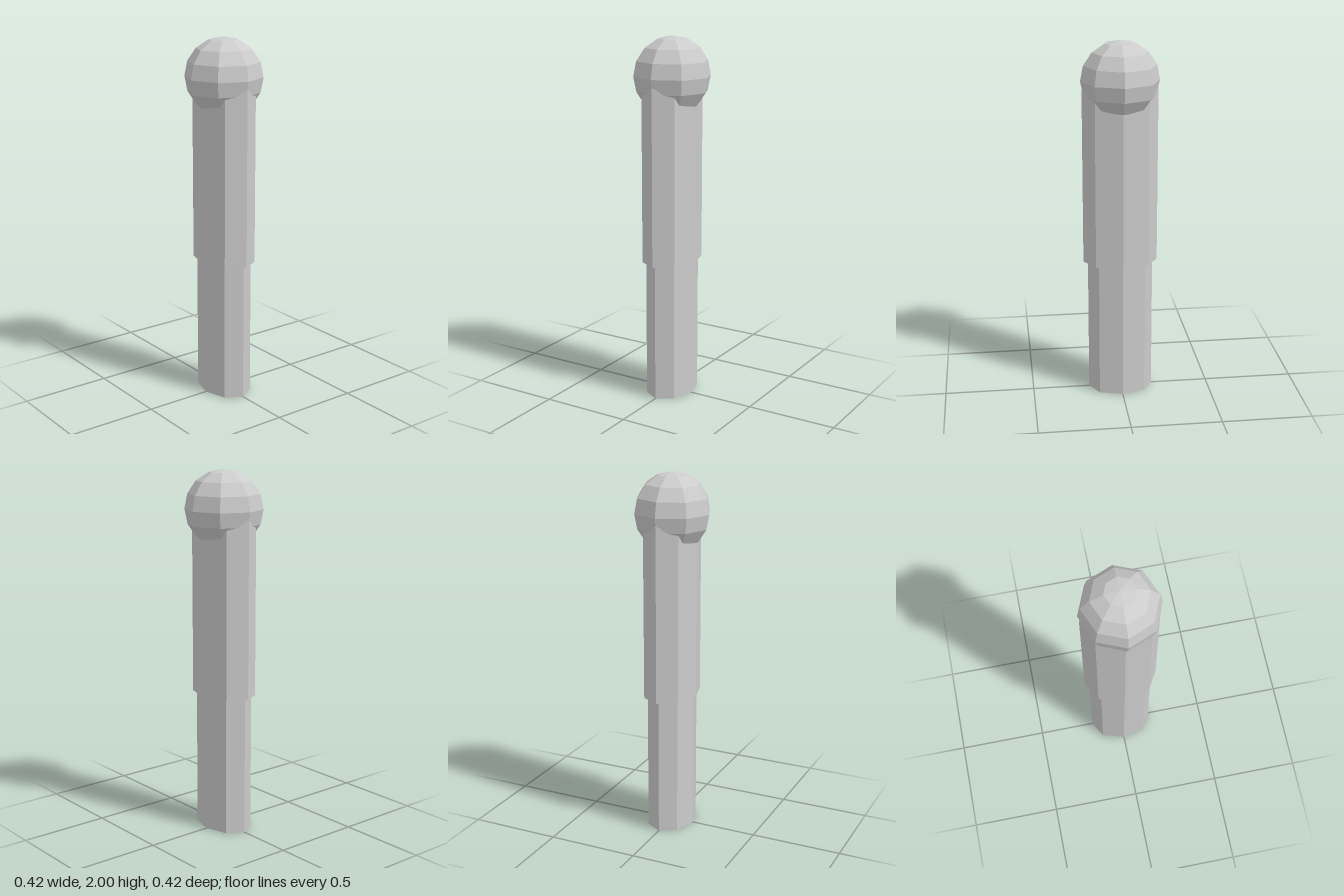
import * as THREE from 'three';

const SIDES = 8;

export function createModel() {
  const model = new THREE.Group();
  const material = new THREE.MeshStandardMaterial({ color: 0xcccccc, flatShading: true });

  const add = (name, geometry, y) => {
    const mesh = new THREE.Mesh(geometry, material);
    mesh.name = name;
    mesh.position.y = y;
    model.add(mesh);
  };

  // Eight-sided prism with an oval section, standing between two heights
  const prism = (name, rx, rz, bottom, top) => {
    const geometry = new THREE.CylinderGeometry(1, 1, top - bottom, SIDES);
    geometry.scale(rx, 1, rz);
    add(name, geometry, (bottom + top) / 2);
  };

  // Narrow lower shaft, wider upper shaft
  prism('lowerShaft', 0.127, 0.18, 0, 0.772);
  prism('upperShaft', 0.145, 0.205, 0.772, 1.74);

  // Faceted ball sunk onto the upper shaft
  const radius = 0.212;
  add('ballHead', new THREE.SphereGeometry(radius, SIDES, SIDES), 2 - radius);

  return model;
}
